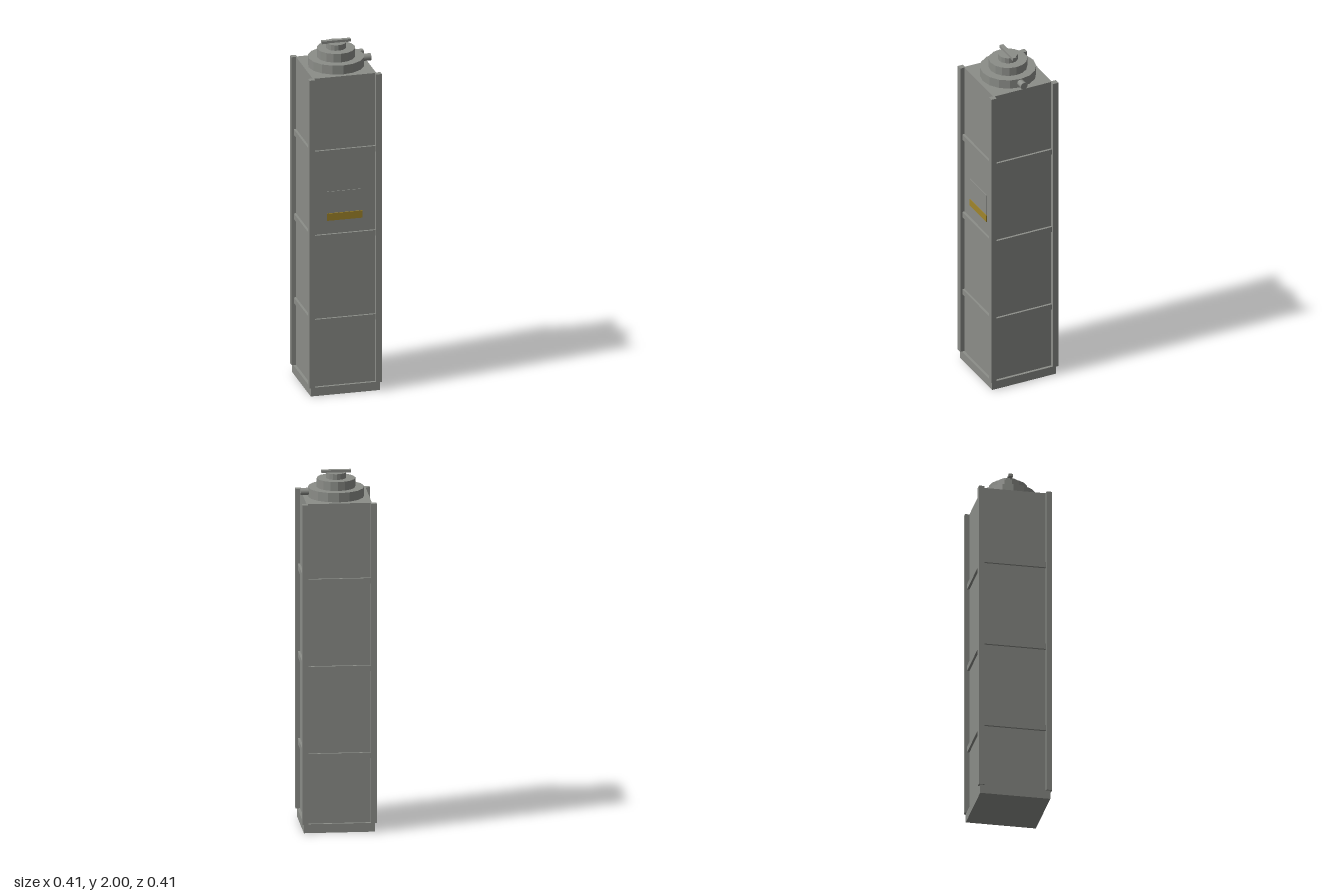
import * as THREE from 'three';

export function createModel() {
  const model = new THREE.Group();
  model.name = 'storageCanister';

  const metal = new THREE.MeshStandardMaterial({ color: 0x8b8d88 });
  metal.name = 'greyMetal';
  const yellow = new THREE.MeshStandardMaterial({ color: 0xa0852a });
  yellow.name = 'warningYellow';
  const facetedMetal = metal.clone();
  facetedMetal.flatShading = true;

  const add = (name, geometry, material, x, y, z, parent = model) => {
    const mesh = new THREE.Mesh(geometry, material);
    mesh.name = name;
    mesh.position.set(x, y, z);
    parent.add(mesh);
    return mesh;
  };
  const box = (name, w, h, d, x, y, z, material = metal, parent = model) =>
    add(name, new THREE.BoxGeometry(w, h, d), material, x, y, z, parent);

  // Base and tall square body
  box('base', 0.392, 0.05, 0.392, 0, 0.025, 0);
  box('body', 0.36, 1.803, 0.36, 0, 0.9515, 0);

  // Corner posts
  for (const sx of [-1, 1]) {
    for (const sz of [-1, 1]) {
      box('cornerPost', 0.032, 1.803, 0.032, sx * 0.189, 0.9515, sz * 0.189);
    }
  }

  // Horizontal ribs on each of the four sides
  for (let side = 0; side < 4; side++) {
    const ribs = new THREE.Group();
    ribs.name = 'sideRibs';
    ribs.rotation.y = side * Math.PI / 2;
    for (const y of [0.43, 0.922, 1.415]) {
      box('rib', 0.346, 0.032, 0.018, 0, y, 0.184, metal, ribs);
    }
    model.add(ribs);
  }

  // Front plate with coloured stripe
  box('frontPlate', 0.2, 0.125, 0.006, 0, 1.122, 0.181);
  box('frontStripe', 0.2, 0.042, 0.008, 0, 1.036, 0.181, yellow);

  // Stepped cap
  const steps = [[0.155, 1.853, 1.905], [0.106, 1.905, 1.955], [0.055, 1.955, 1.987]];
  for (const [r, y0, y1] of steps) {
    add('capStep', new THREE.CylinderGeometry(r, r, y1 - y0, 16), facetedMetal, 0, (y0 + y1) / 2, 0);
  }

  // Handle bar and side valve
  box('handle', 0.163, 0.015, 0.024, 0, 1.9925, 0);
  const valve = add('valve', new THREE.CylinderGeometry(0.02, 0.02, 0.056, 20), metal, 0.168, 1.881, 0);
  valve.rotation.z = -Math.PI / 2;

  return model;
}
